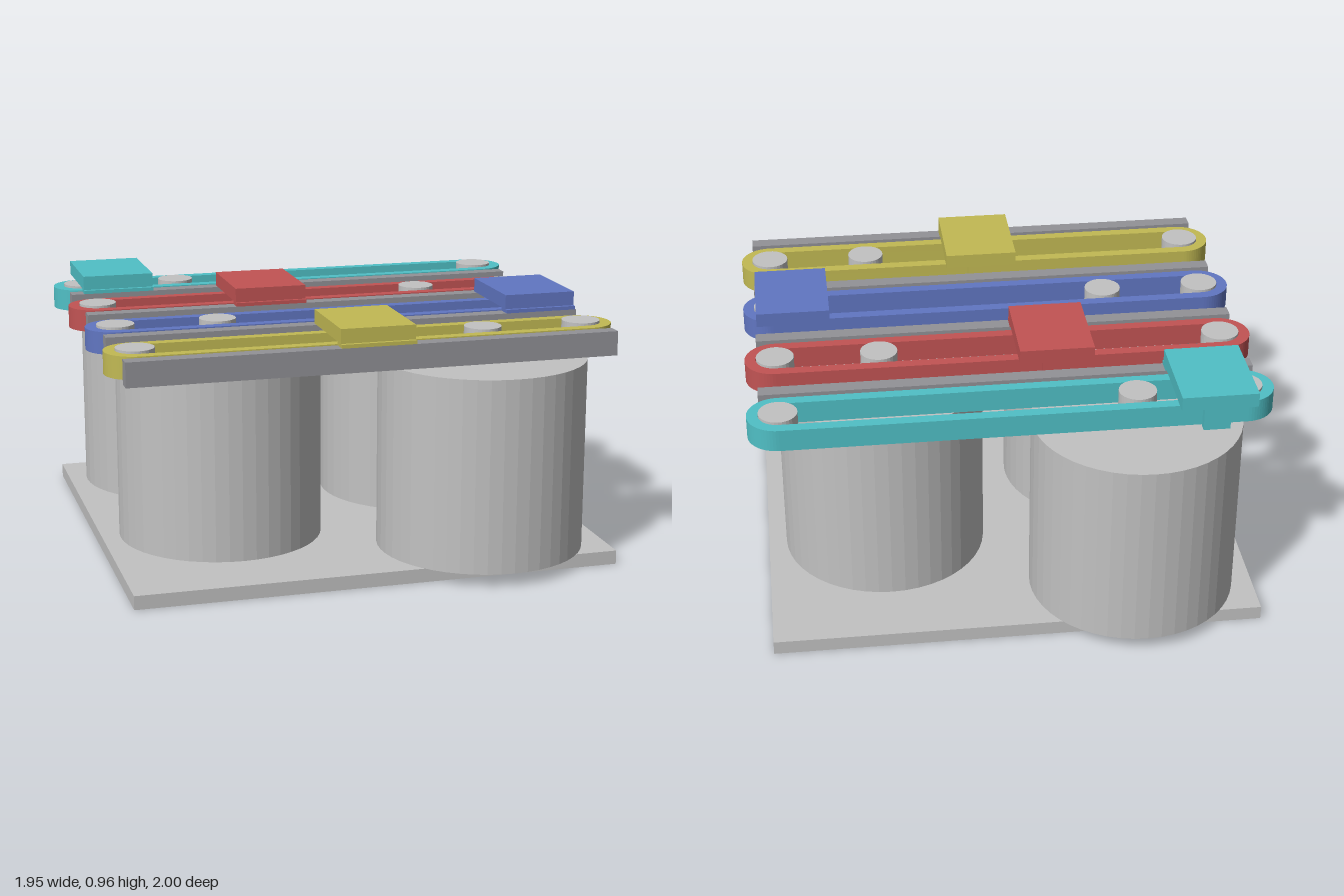
import * as THREE from 'three';

const mat = (name, color) => {
  const m = new THREE.MeshStandardMaterial({ color });
  m.name = name;
  return m;
};

export function createModel() {
  const model = new THREE.Group();
  model.name = 'fourBeltSliderMachine';

  const lightGrey = mat('lightGrey', 0xc2c2c2);
  const railGrey = mat('railGrey', 0x929297);
  const teal = mat('teal', 0x50c0c6);
  const red = mat('red', 0xc25454);
  const blue = mat('blue', 0x6176c2);
  const yellow = mat('yellow', 0xc2ba54);

  const add = (parent, name, geometry, material) => {
    const mesh = new THREE.Mesh(geometry, material);
    mesh.name = name;
    parent.add(mesh);
    return mesh;
  };
  // Box and cylinder given by their limits
  const box = (parent, name, material, x0, x1, y0, y1, z0, z1) => {
    const g = new THREE.BoxGeometry(x1 - x0, y1 - y0, z1 - z0);
    g.translate((x0 + x1) / 2, (y0 + y1) / 2, (z0 + z1) / 2);
    return add(parent, name, g, material);
  };
  const cylinder = (parent, name, material, x, r, y0, y1, sides) => {
    const g = new THREE.CylinderGeometry(r, r, y1 - y0, sides).toNonIndexed();
    g.computeVertexNormals(); // faceted sides
    g.translate(x, (y0 + y1) / 2, 0);
    return add(parent, name, g, material);
  };

  // Stadium outline for the belt loop
  const stadium = (path, r) => {
    path.absarc(0.86, 0, r, -Math.PI / 2, Math.PI / 2, false);
    path.absarc(-0.86, 0, r, Math.PI / 2, Math.PI * 1.5, false);
    path.closePath();
    return path;
  };
  const beltShape = stadium(new THREE.Shape(), 0.115);
  beltShape.holes.push(stadium(new THREE.Path(), 0.073));
  const beltGeometry = new THREE.ExtrudeGeometry(beltShape, {
    depth: 0.085, bevelEnabled: false, curveSegments: 16,
  });
  beltGeometry.rotateX(-Math.PI / 2).translate(0, 0.81, 0);

  box(model, 'basePlate', lightGrey, -0.93, 0.93, 0, 0.053, -0.86, 0.86);

  // One axis per colour: motor, pulleys, belt, rail and carriage
  const axes = [
    { name: 'teal', z: -0.605, motorX: -0.465, carriageX: -0.737, color: teal },
    { name: 'red', z: -0.202, motorX: 0.465, carriageX: -0.198, color: red },
    { name: 'blue', z: 0.202, motorX: -0.465, carriageX: 0.782, color: blue },
    { name: 'yellow', z: 0.605, motorX: 0.465, carriageX: 0, color: yellow },
  ];
  for (const { name, z, motorX, carriageX, color } of axes) {
    const axis = new THREE.Group();
    axis.name = name + 'Axis';
    axis.position.z = z;
    model.add(axis);

    cylinder(axis, 'motor', lightGrey, motorX, 0.395, 0.053, 0.79, 48);
    cylinder(axis, 'motorShaft', lightGrey, motorX, 0.071, 0.79, 0.904, 32);
    for (const s of [-1, 1]) {
      cylinder(axis, 'idlerPulley', lightGrey, s * 0.86, 0.072, 0.802, 0.904, 32);
    }
    add(axis, 'belt', beltGeometry, color);
    box(axis, 'rail', railGrey, -0.93, 0.93, 0.803, 0.896, 0.138, 0.195);

    // Carriage: top plate, pad on the rail, clip hooked over the rear belt run
    const carriage = new THREE.Group();
    carriage.name = 'carriage';
    carriage.position.x = carriageX;
    axis.add(carriage);
    box(carriage, 'carriagePlate', color, -0.142, 0.142, 0.91, 0.965, -0.177, 0.18);
    box(carriage, 'railPad', color, -0.142, 0.142, 0.896, 0.91, 0.138, 0.195);
    box(carriage, 'clipTop', color, -0.05, 0.05, 0.896, 0.91, -0.145, -0.075);
    box(carriage, 'clipArm', color, -0.05, 0.05, 0.803, 0.896, -0.145, -0.116);
  }
  return model;
}
